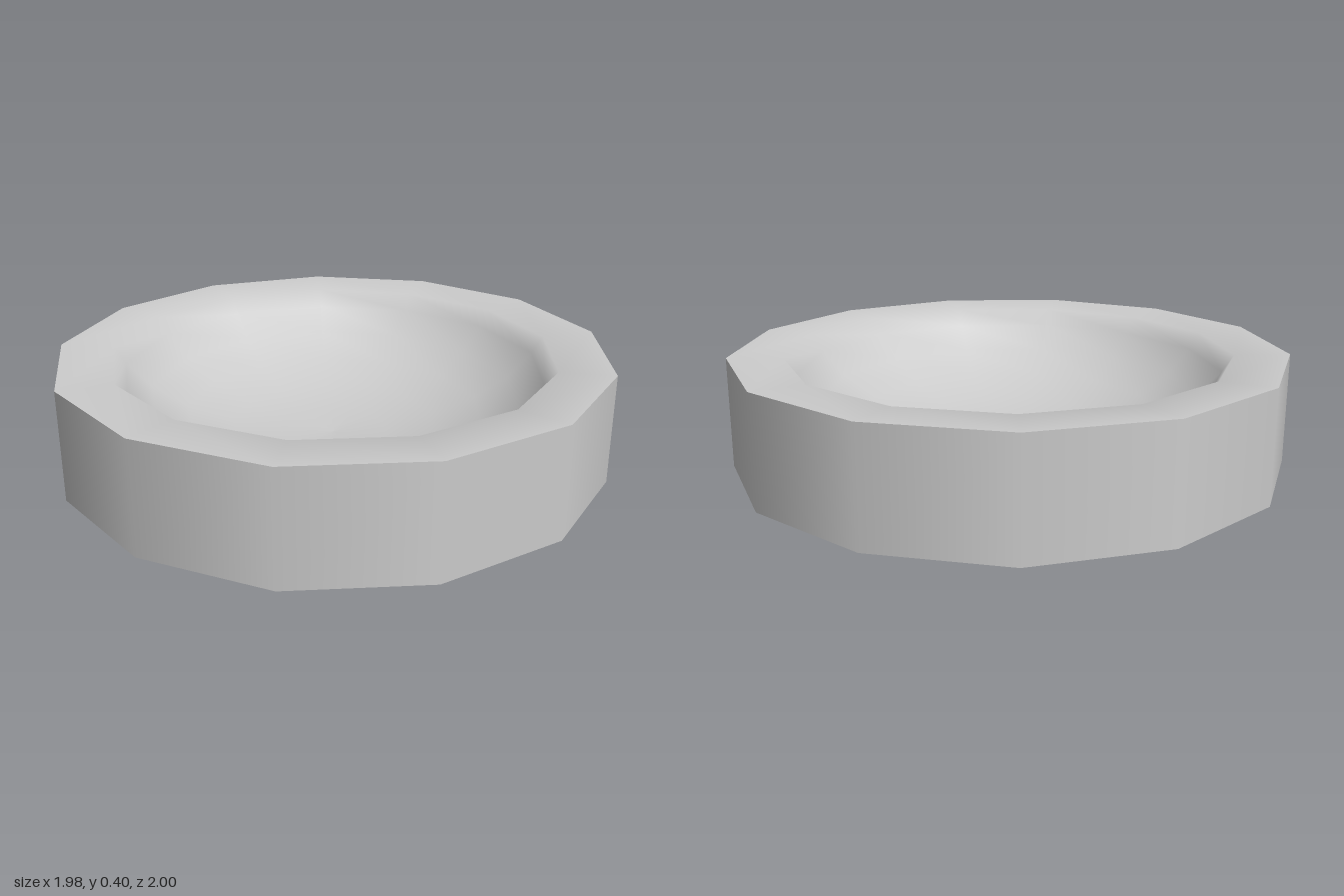
import * as THREE from 'three';

const SIDES = 13;
const RADIUS = 1.007;
const HEIGHT = 0.4;

export function createModel() {
  const group = new THREE.Group();
  group.name = 'shallowBowl';
  const material = new THREE.MeshStandardMaterial({ color: 0xcccccc });

  const add = (name, geometry) => {
    const mesh = new THREE.Mesh(geometry, material);
    mesh.name = name;
    group.add(mesh);
    return mesh;
  };

  // Upright outer wall, first corner on +x
  const wall = add('outerWall',
    new THREE.CylinderGeometry(RADIUS, RADIUS, HEIGHT, SIDES, 1, true, Math.PI / 2));
  wall.position.y = HEIGHT / 2;

  // Flat underside
  const base = add('base', new THREE.CircleGeometry(RADIUS, SIDES));
  base.rotation.x = Math.PI / 2;

  // Rim flowing into the hollow, from the outer edge to the centre
  const profile = [
    [RADIUS, HEIGHT], [0.81, 0.393], [0.77, 0.33], [0.68, 0.24],
    [0.55, 0.165], [0.38, 0.11], [0.2, 0.08], [0, 0.07],
  ].map(([r, y]) => new THREE.Vector2(r, y));
  add('rimAndHollow', new THREE.LatheGeometry(profile, SIDES, Math.PI / 2));

  // Odd side count: shift so the extents are centred on x
  group.children.forEach((part) => {
    part.position.x = -RADIUS * (1 - Math.cos(Math.PI / SIDES)) / 2;
  });
  return group;
}
